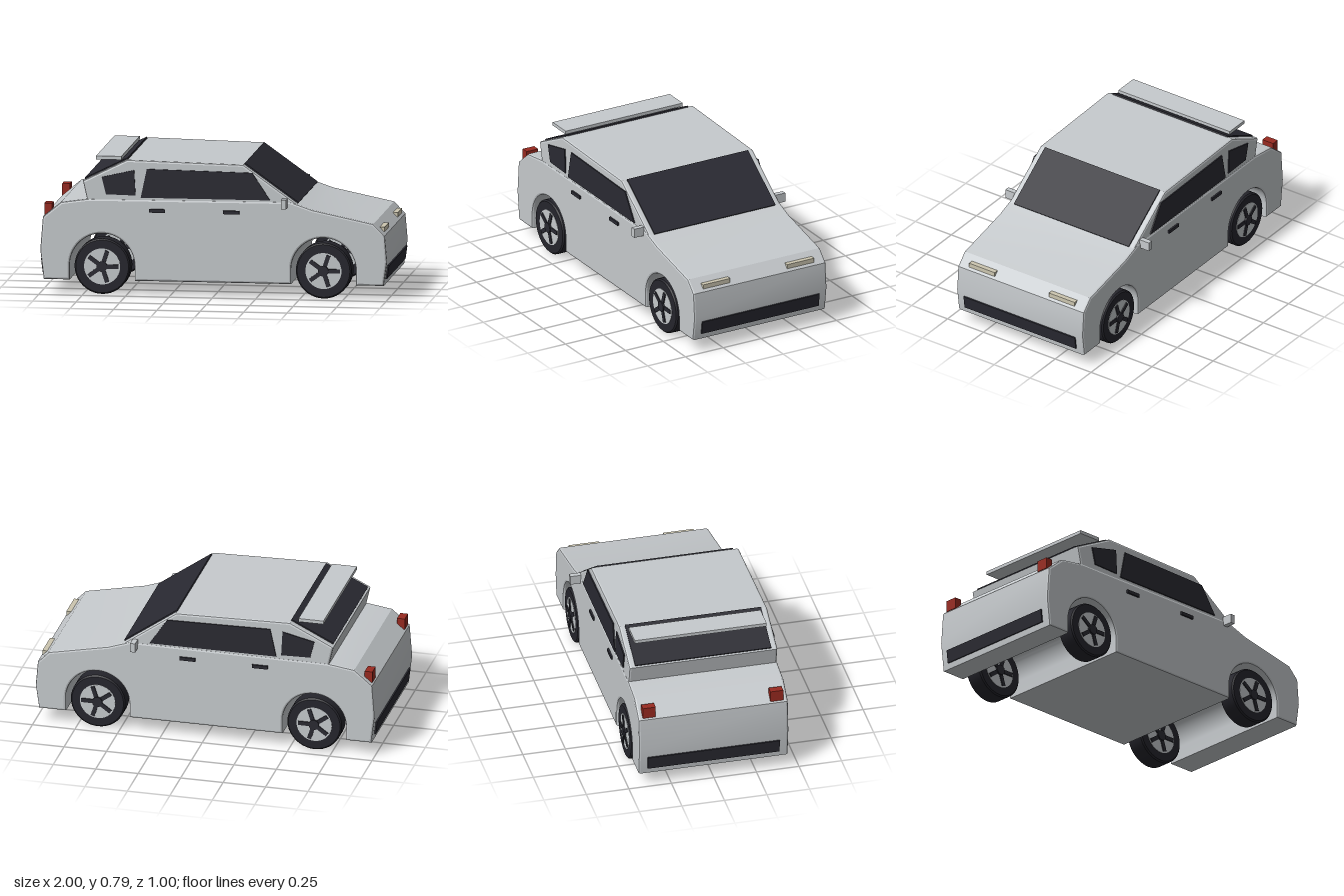
import * as THREE from 'three';
import { toCreasedNormals } from 'three/addons/utils/BufferGeometryUtils.js';

const mat = (name, color) => {
  const m = new THREE.MeshStandardMaterial({ color });
  m.name = name;
  return m;
};

export function createModel() {
  const car = new THREE.Group();
  car.name = 'car';
  const paint = mat('silver paint', 0xc6cacd);
  const dark = mat('dark glass and trim', 0x2a2a32);
  const rubber = mat('tyre rubber', 0x25252c);
  const red = mat('tail light red', 0x982a20);
  const cream = mat('headlight cream', 0xccc6b0);

  const add = (name, geometry, material, parent = car) => {
    const mesh = new THREE.Mesh(geometry, material);
    mesh.name = name;
    parent.add(mesh);
    return mesh;
  };
  const box = (name, material, x, y, z, w, h, d) =>
    add(name, new THREE.BoxGeometry(w, h, d), material).position.set(x, y, z);
  const polygon = (pts) => new THREE.Shape(pts.map(([x, y]) => new THREE.Vector2(x, y)));

  // Side profile extruded across the full width with softened edges
  const shell = (name, shape, halfWidth, bevel) => {
    const g = new THREE.ExtrudeGeometry(shape, {
      depth: 2 * (halfWidth - bevel), curveSegments: 28, bevelEnabled: true,
      bevelThickness: bevel, bevelSize: bevel, bevelOffset: -bevel, bevelSegments: 2,
    });
    g.translate(0, 0, -(halfWidth - bevel));
    add(name, toCreasedNormals(g, 0.3), paint);
  };

  // Thin plate lying on the profile segment from (x1, y1) to (x2, y2); its outside is to the left
  const plate = (name, x1, y1, x2, y2, width) => {
    const length = Math.hypot(x2 - x1, y2 - y1);
    const g = new THREE.BoxGeometry(length, 0.009, width);
    g.translate(0, 0.003, 0);
    const m = add(name, g, dark);
    m.position.set((x1 + x2) / 2, (y1 + y2) / 2, 0);
    m.rotation.z = Math.atan2(y2 - y1, x2 - x1);
  };

  // Lower body with open wheel arches
  const axleY = 0.163, frontX = 0.632, rearX = -0.643, archR = 0.187;
  const body = new THREE.Shape();
  body.moveTo(-0.98, 0.08);
  for (const x of [rearX, frontX]) {
    body.lineTo(x - archR, 0.08);
    body.lineTo(x - archR, axleY);
    body.absarc(x, axleY, archR, Math.PI, 0, true);
    body.lineTo(x + archR, 0.08);
  }
  const outline = [[0.978, 0.08], [0.998, 0.22], [0.985, 0.37], [0.92, 0.437], [0.57, 0.51],
    [0.44, 0.555], [-0.72, 0.55], [-0.88, 0.527], [-0.985, 0.44], [-1, 0.25]];
  outline.forEach(([x, y]) => body.lineTo(x, y));
  body.closePath();
  shell('body', body, 0.44, 0.012);

  // Cabin
  shell('cabin', polygon([[-0.725, 0.52], [0.5, 0.52], [0.475, 0.545], [0.17, 0.763],
    [-0.5, 0.778], [-0.755, 0.652]]), 0.436, 0.012);

  // Front and rear glass, grille and rear bumper strip
  plate('windshield', 0.17, 0.763, 0.48, 0.541, 0.8);
  plate('rearWindow', -0.745, 0.657, -0.497, 0.779, 0.8);
  plate('frontGrille', 0.995, 0.192, 0.984, 0.115, 0.775);
  plate('rearBumperStrip', -0.985, 0.115, -0.994, 0.192, 0.775);

  // Spoiler
  box('spoiler', paint, -0.612, 0.78, 0, 0.146, 0.02, 0.775);

  // Parts repeated on both sides
  const windows = {
    SideWindow: [[-0.42, 0.562], [0.325, 0.562], [0.222, 0.718], [-0.385, 0.728]],
    QuarterWindow: [[-0.62, 0.578], [-0.45, 0.574], [-0.458, 0.72], [-0.645, 0.677]],
  };
  for (const s of [1, -1]) {
    const side = s > 0 ? 'near' : 'far';
    for (const [name, pts] of Object.entries(windows)) {
      const g = new THREE.ExtrudeGeometry(polygon(pts), { depth: 0.009, bevelEnabled: false });
      g.translate(0, 0, s * 0.4385 - 0.0045);
      add(side + name, g, dark);
    }
    for (const x of [-0.325, 0.102]) box(side + 'DoorHandle', dark, x, 0.488, s * 0.442, 0.092, 0.02, 0.016);
    box(side + 'Mirror', paint, 0.41, 0.548, s * 0.45, 0.03, 0.054, 0.1);
    box(side + 'Headlight', cream, 0.96, 0.397, s * 0.278, 0.03, 0.026, 0.178);
    box(side + 'TailLight', red, -0.957, 0.482, s * 0.375, 0.045, 0.066, 0.075);
  }

  // Wheels: tyre, light rim discs and a dark five-spoke star on both faces
  const disc = (r, d) => new THREE.CylinderGeometry(r, r, d, 40).rotateX(Math.PI / 2);
  const tyreProfile = [[0.1, -0.055], [0.152, -0.055], [0.16, -0.047], [0.16, 0.047],
    [0.152, 0.055], [0.1, 0.055]].map(([r, y]) => new THREE.Vector2(r, y));
  const tyreGeometry = toCreasedNormals(new THREE.LatheGeometry(tyreProfile, 40).rotateX(Math.PI / 2), 0.5);
  for (const x of [rearX, frontX]) for (const s of [1, -1]) {
    const wheel = new THREE.Group();
    wheel.name = (x > 0 ? 'front' : 'rear') + 'Wheel';
    wheel.position.set(x, 0.16, s * 0.38);
    car.add(wheel);
    add('tyre', tyreGeometry, rubber, wheel);
    add('rim', disc(0.104, 0.114), paint, wheel);
    add('hub', disc(0.03, 0.138), dark, wheel);
    for (let i = 0; i < 5; i++) {
      const spoke = new THREE.BoxGeometry(0.095, 0.024, 0.126);
      spoke.translate(0.0475, 0, 0).rotateZ((i * 2 * Math.PI) / 5);
      add('spoke', spoke, dark, wheel);
    }
  }
  return car;
}
